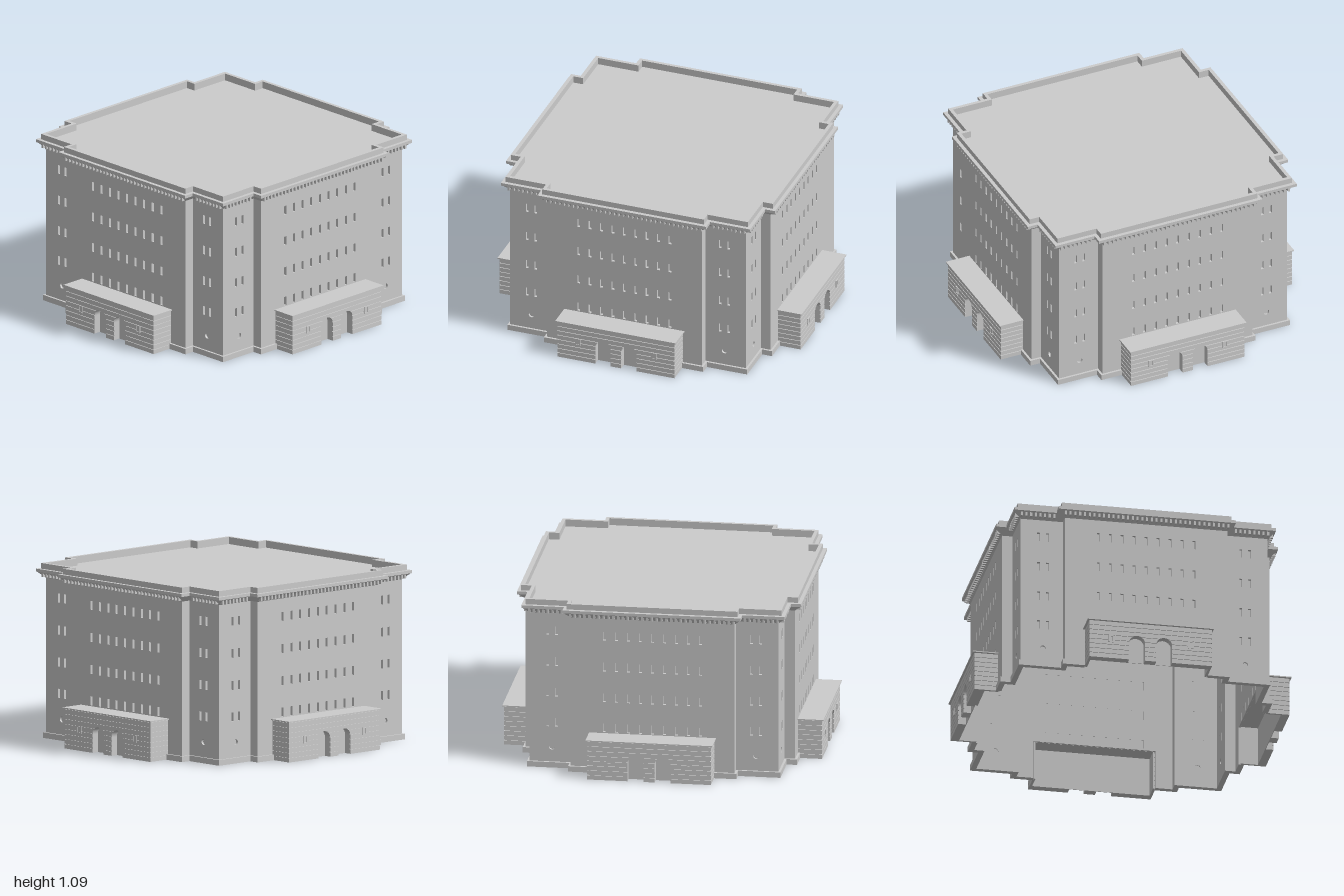
import * as THREE from 'three';

const mat = new THREE.MeshStandardMaterial({ color: 0xcccccc, side: THREE.DoubleSide, flatShading: true });
const BAY = 0.84, WING = 0.775, HALF = 0.51; // bay face, corner wing face, half width of bay
const ROWS = [0.29, 0.485, 0.685, 0.885];

function add(parent, name, geo, x = 0, y = 0, z = 0) {
  const m = new THREE.Mesh(geo, mat);
  m.name = name;
  m.position.set(x, y, z);
  parent.add(m);
  return m;
}
const box = (parent, name, w, h, d, x, y, z) => add(parent, name, new THREE.BoxGeometry(w, h, d), x, y, z);
const extrude = (shape, depth) => new THREE.ExtrudeGeometry(shape, { depth, bevelEnabled: false, curveSegments: 12 });
const poly = (pts) => new THREE.Shape(pts.map((p) => new THREE.Vector2(p[0], p[1])));
const rect = (x, y, w, h) => poly([[x - w / 2, y - h / 2], [x + w / 2, y - h / 2], [x + w / 2, y + h / 2], [x - w / 2, y + h / 2]]);

// Stepped building outline, grown outward by d
function outline(d) {
  const pts = [];
  const D = BAY + d, C = WING + d, w = HALF + d;
  for (let k = 0; k < 4; k++) {
    for (let [x, z] of [[D, w], [C, w], [C, C], [w, C], [w, D]]) {
      for (let i = 0; i < k; i++) [x, z] = [-z, x];
      pts.push([x, z]);
    }
  }
  return pts;
}

// Sweep a profile of [offset, y] points round the outline
function ringGeometry(profile) {
  const pos = [];
  for (let j = 0; j < profile.length - 1; j++) {
    const [d0, y0] = profile[j], [d1, y1] = profile[j + 1];
    const lo = outline(d0), hi = outline(d1);
    lo.forEach((p, i) => {
      const n = (i + 1) % lo.length;
      const a0 = [p[0], y0, p[1]], b0 = [lo[n][0], y0, lo[n][1]];
      const a1 = [hi[i][0], y1, hi[i][1]], b1 = [hi[n][0], y1, hi[n][1]];
      pos.push(...a0, ...a1, ...b1, ...a0, ...b1, ...b0);
    });
  }
  const g = new THREE.BufferGeometry();
  g.setAttribute('position', new THREE.Float32BufferAttribute(pos, 3));
  g.computeVertexNormals();
  return g;
}

// Wall panel facing +z with recessed windows
function wall(parent, name, shape, columns, z) {
  for (const x of columns) for (const y of ROWS) {
    shape.holes.push(rect(x, y, 0.018, 0.056));
    add(parent, 'windowPane', new THREE.PlaneGeometry(0.02, 0.058), x, y, z - 0.018);
  }
  add(parent, name, extrude(shape, 0.02), 0, 0, z - 0.02);
}

// Entrance block with two arched doorways and coursed stone
function entrance(parent) {
  const g = new THREE.Group();
  g.name = 'entranceBlock';
  parent.add(g);
  const W = 0.379, AX = 0.085, R = 0.05, SPRING = 0.115, TOP = 0.25;
  const front = new THREE.Shape();
  front.moveTo(-W, 0);
  for (const s of [-1, 1]) {
    front.lineTo(s * AX - R, 0);
    front.lineTo(s * AX - R, SPRING);
    front.absarc(s * AX, SPRING, R, Math.PI, 0, true);
    front.lineTo(s * AX + R, 0);
    box(g, 'door', 2 * R, SPRING + R, 0.004, s * AX, (SPRING + R) / 2, 0.94);
  }
  front.lineTo(W, 0);
  front.lineTo(W, TOP);
  front.lineTo(-W, TOP);
  add(g, 'entranceFront', extrude(front, 0.046), 0, 0, 0.938);
  for (const s of [-1, 1]) box(g, 'entranceSide', 0.01, TOP, 0.15, s * (W - 0.005), TOP / 2, 0.905);
  box(g, 'entranceRoof', 0.79, 0.007, 0.17, 0, 0.2525, 0.915);

  // Stone courses, cut round the arches
  const halfGap = (y) => (y < SPRING ? R : Math.sqrt(Math.max(0, R * R - (y - SPRING) ** 2)));
  const edges = [
    () => -W - 0.006, (h) => -AX - h, (h) => -AX + h, (h) => AX - h, (h) => AX + h, () => W + 0.006,
  ];
  const pitch = TOP / 8, steps = 6;
  for (let c = 0; c < 8; c++) {
    const y0 = c * pitch, h = pitch - 0.005;
    for (let e = 0; e < 6; e += 2) {
      const left = [], right = [];
      for (let i = 0; i <= steps; i++) {
        const y = y0 + (h * i) / steps;
        left.push([edges[e](halfGap(y)), y]);
        right.push([edges[e + 1](halfGap(y)), y]);
      }
      add(g, 'stoneCourse', extrude(poly([...right, ...left.reverse()]), 0.006), 0, 0, 0.984);
    }
    for (const s of [-1, 1]) box(g, 'sideCourse', 0.006, h, 0.144, s * (W + 0.003), y0 + h / 2, 0.912);
  }

  // Small framed windows beside the doors
  for (const s of [-1, 1]) {
    const frame = rect(s * 0.25, 0.13, 0.034, 0.046);
    frame.holes.push(rect(s * 0.25, 0.13, 0.022, 0.034));
    add(g, 'smallWindowFrame', extrude(frame, 0.006), 0, 0, 0.989);
    add(g, 'smallWindowPane', new THREE.PlaneGeometry(0.024, 0.036), s * 0.25, 0.13, 0.9905);
  }
}

function buildSide(k) {
  const side = new THREE.Group();
  side.name = 'side' + (k + 1);
  side.rotation.y = (k * Math.PI) / 2;
  const top = 1.04, N = 0.384;

  // Central bay, open behind the entrance block
  const bay = poly([[-HALF, 0], [-N, 0], [-N, 0.25], [N, 0.25], [N, 0], [HALF, 0], [HALF, top], [-HALF, top]]);
  wall(side, 'centralBayWall', bay, Array.from({ length: 9 }, (_, i) => (i - 4) * 0.075), BAY);

  for (const s of [-1, 1]) {
    // Corner wing wall with a round opening near the ground
    const wing = rect(s * (HALF + WING) / 2, top / 2, WING - HALF, top);
    const hole = new THREE.Path();
    hole.absarc(s * 0.635, 0.13, 0.018, 0, Math.PI * 2, false);
    wing.holes.push(hole);
    add(side, 'roundWindowPane', new THREE.CircleGeometry(0.019, 20), s * 0.635, 0.13, WING - 0.014);
    wall(side, 'cornerWingWall', wing, [s * 0.607, s * 0.662], WING);
    box(side, 'bayReturnWall', 0.02, top, BAY - WING + 0.02, s * (HALF - 0.01), top / 2, (BAY + WING - 0.02) / 2);
  }

  // Dentils under the cornice
  const dentil = (x, z) => box(side, 'dentil', 0.013, 0.03, 0.036, x, 1.021, z + 0.017);
  for (let i = -17; i <= 17; i++) dentil(i * 0.03, BAY);
  for (const s of [-1, 1]) for (let i = 0; i < 8; i++) dentil(s * (0.57 + i * 0.029), WING);

  entrance(side);
  return side;
}

export function createModel() {
  const model = new THREE.Group();
  model.name = 'building';
  for (let k = 0; k < 4; k++) model.add(buildSide(k));

  // Cornice and parapet in one sweep
  add(model, 'corniceAndParapet', ringGeometry([
    [0, 0.998], [0.04, 1.036], [0.045, 1.036], [0.045, 1.055],
    [0.022, 1.055], [0.022, 1.09], [0, 1.09], [0, 1.045],
  ]));

  // Flat roof
  const roof = new THREE.ShapeGeometry(poly(outline(0).map(([x, z]) => [x, -z])));
  roof.rotateX(-Math.PI / 2);
  add(model, 'roof', roof, 0, 1.046, 0);

  // Plinth round each corner, stopping at the entrance blocks
  const run = (d) => [[BAY + d, 0.385], ...outline(d).slice(0, 5), [0.385, BAY + d]];
  for (let k = 0; k < 4; k++) {
    const plinth = extrude(poly([...run(0.014), ...run(-0.005).reverse()]), 0.035);
    plinth.rotateX(-Math.PI / 2);
    add(model, 'plinth', plinth).rotation.y = (k * Math.PI) / 2;
  }
  return model;
}
